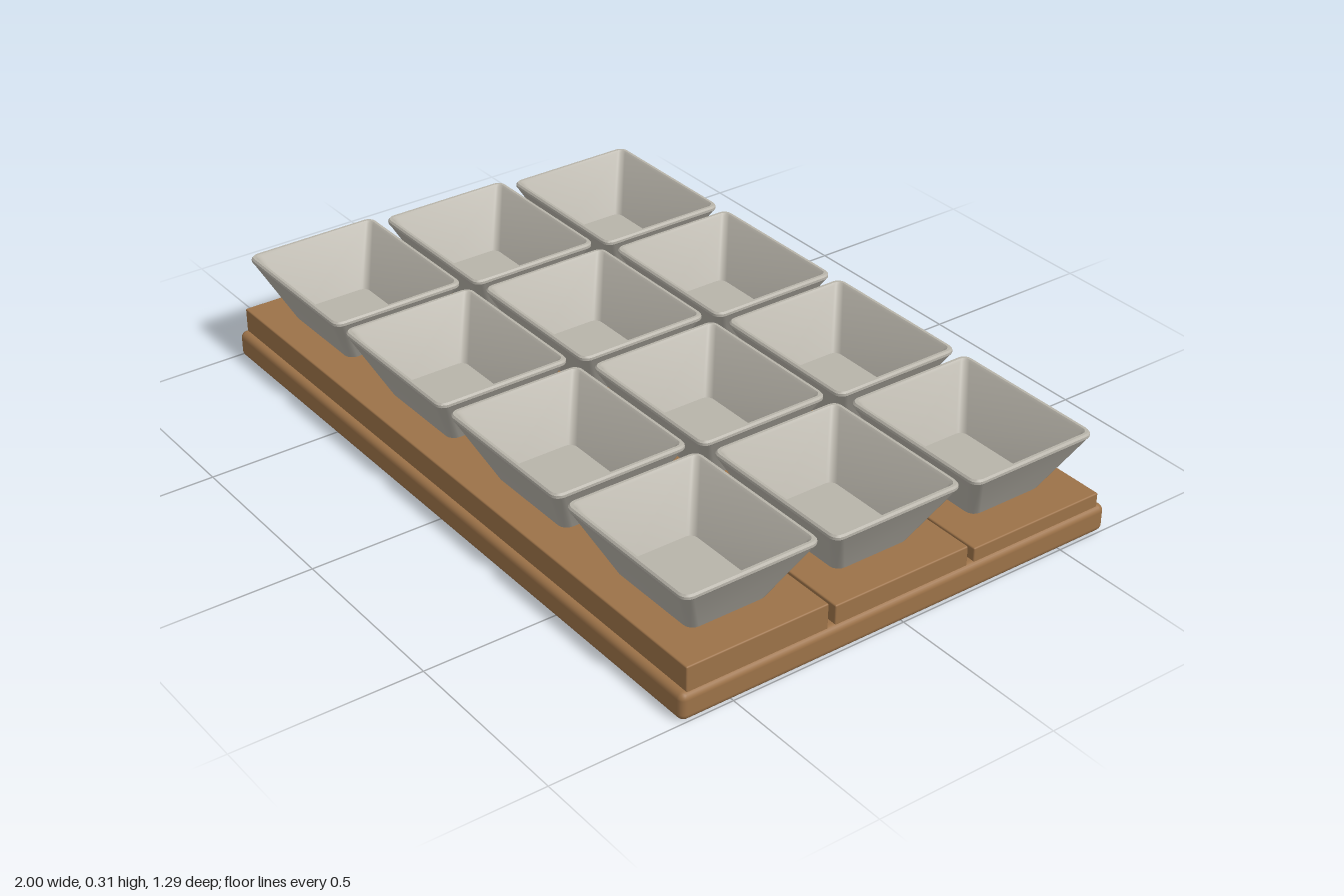
import * as THREE from 'three';
import { toCreasedNormals } from 'three/addons/utils/BufferGeometryUtils.js';
import { RoundedBoxGeometry } from 'three/addons/geometries/RoundedBoxGeometry.js';

// Rounded rectangle cross-section, counter-clockwise seen from above
function ring(hx, hz, r, y, seg = 4) {
  const points = [];
  [[1, 1], [-1, 1], [-1, -1], [1, -1]].forEach(([sx, sz], corner) => {
    for (let i = 0; i <= seg; i++) {
      const a = (corner + i / seg) * Math.PI / 2;
      points.push([sx * (hx - r) + r * Math.cos(a), y, -(sz * (hz - r) + r * Math.sin(a))]);
    }
  });
  return points;
}

// Joins the cross-sections in order and closes both ends
function loft(rings) {
  const pos = [];
  const tri = (...corners) => corners.forEach((p) => pos.push(...p));
  const n = rings[0].length;
  const first = rings[0], last = rings[rings.length - 1];
  for (let j = 0; j < n; j++) {
    const k = (j + 1) % n;
    for (let i = 0; i < rings.length - 1; i++) {
      const a = rings[i][j], b = rings[i][k], c = rings[i + 1][k], d = rings[i + 1][j];
      tri(a, b, c);
      tri(a, c, d);
    }
    tri([0, first[0][1], 0], first[k], first[j]);
    tri([0, last[0][1], 0], last[j], last[k]);
  }
  const g = new THREE.BufferGeometry();
  g.setAttribute('position', new THREE.Float32BufferAttribute(pos, 3));
  return toCreasedNormals(g, 0.5);
}

export function createModel() {
  const model = new THREE.Group();
  model.name = 'tieredBowlTray';
  const wood = new THREE.MeshStandardMaterial({ color: 0x9c7248 });
  wood.name = 'wood';
  const stone = new THREE.MeshStandardMaterial({ color: 0xb8b4aa });
  stone.name = 'warm grey';

  const addBox = (name, w, h, d, r, y, z) => {
    const mesh = new THREE.Mesh(new RoundedBoxGeometry(w, h, d, 3, r), wood);
    mesh.name = name;
    mesh.position.set(0, y + h / 2, z);
    model.add(mesh);
  };

  // Base board with rounded edges
  addBox('baseBoard', 2, 0.075, 1.29, 0.018, 0, 0);

  // Hollow bowl: outside from foot to rim, then inside down to the floor
  const bowlGeometry = loft([
    ring(0.147, 0.113, 0.025, 0),
    ring(0.226, 0.187, 0.025, 0.15),
    ring(0.23, 0.191, 0.025, 0.156),
    ring(0.23, 0.191, 0.025, 0.163),
    ring(0.226, 0.187, 0.022, 0.168),
    ring(0.219, 0.18, 0.018, 0.168),
    ring(0.214, 0.175, 0.018, 0.162),
    ring(0.137, 0.108, 0.02, 0.015),
  ]);

  // Three steps, lower towards the back, with four bowls each
  const rows = [['front', 0.423, 0.141], ['middle', 0, 0.126], ['back', -0.423, 0.111]];
  for (const [row, z, top] of rows) {
    addBox(row + 'Step', 1.98, top - 0.065, 0.403, 0.004, 0.065, z);
    for (let i = 0; i < 4; i++) {
      const bowl = new THREE.Mesh(bowlGeometry, stone);
      bowl.name = row + 'Bowl' + (i + 1);
      bowl.position.set((i - 1.5) * 0.492, top, z);
      model.add(bowl);
    }
  }
  return model;
}
